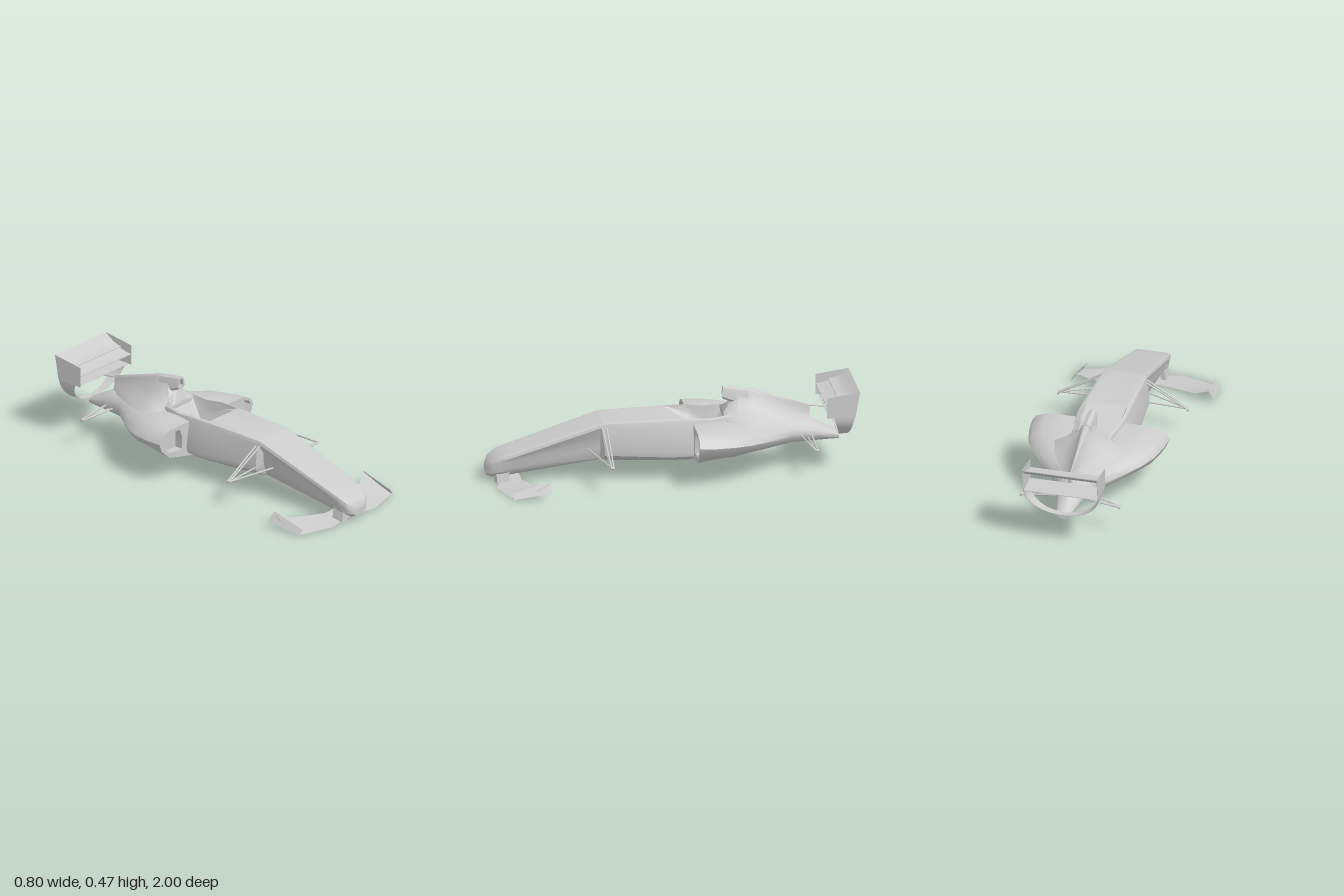
import * as THREE from 'three';
import { toCreasedNormals } from 'three/addons/utils/BufferGeometryUtils.js';

const material = new THREE.MeshStandardMaterial({ color: 0xcccccc });
const thin = new THREE.MeshStandardMaterial({ color: 0xcccccc, side: THREE.DoubleSide });

// The body axis drifts slightly sideways from the nose to the cockpit
const axis = z => 0.016 * Math.min(1, Math.max(0, 1 - z));
const mix = THREE.MathUtils.lerp;

// Skins closed rings of [x, y, z] points, caps both ends and turns the faces outward
function loft(rings, crease = 0.6) {
  const n = rings[0].length, tris = [];
  for (let i = 0; i + 1 < rings.length; i++)
    for (let j = 0; j < n; j++) {
      const k = (j + 1) % n, [a, b] = [rings[i], rings[i + 1]];
      tris.push(a[j], a[k], b[k], a[j], b[k], b[j]);
    }
  const cap = (ring, flip) => {
    const mid = [0, 1, 2].map(k => ring.reduce((s, p) => s + p[k], 0) / n);
    ring.forEach((p, j) => {
      const q = ring[(j + 1) % n];
      tris.push(mid, ...(flip ? [q, p] : [p, q]));
    });
  };
  cap(rings[0], true);
  cap(rings[rings.length - 1], false);
  let volume = 0;
  for (let i = 0; i < tris.length; i += 3) {
    const [a, b, c] = tris.slice(i, i + 3).map(p => new THREE.Vector3(...p));
    volume += a.dot(b.cross(c));
  }
  if (volume < 0) tris.reverse();
  const geo = new THREE.BufferGeometry();
  geo.setAttribute('position', new THREE.Float32BufferAttribute(tris.flat(), 3));
  return toCreasedNormals(geo, crease);
}

// Full ring from a half outline running top centre to bottom centre
function mirrorRing(z, half) {
  const other = half.slice(1, -1).reverse().map(([x, y]) => [-x, y]);
  return [...half, ...other].map(([x, y]) => [x + axis(z), y, z]);
}

function add(group, name, geo, mat = material) {
  const mesh = new THREE.Mesh(geo, mat);
  mesh.name = name;
  group.add(mesh);
  return mesh;
}

function strut(group, name, a, b, r = 0.005) {
  const from = new THREE.Vector3(...a), to = new THREE.Vector3(...b);
  const mesh = add(group, name, new THREE.CylinderGeometry(r, r, from.distanceTo(to), 8));
  mesh.position.copy(from).add(to).multiplyScalar(0.5);
  mesh.quaternion.setFromUnitVectors(new THREE.Vector3(0, 1, 0), to.sub(from).normalize());
}

// Extrudes an outline of [z, y] points across x, from x0 to x1
function acrossX(points, x0, x1) {
  const shape = new THREE.Shape(points.map(([z, y]) => new THREE.Vector2(-z, y)));
  const geo = new THREE.ExtrudeGeometry(shape, { depth: x1 - x0, bevelEnabled: false });
  return toCreasedNormals(geo.rotateY(Math.PI / 2).translate(x0, 0, 0), 0.6);
}

// Thin curved blade: a smooth camber line [z, y] with a tapering thickness
function blade(points, x0, x1) {
  const line = new THREE.SplineCurve(points.map(p => new THREE.Vector2(...p))).getPoints(10);
  const under = line.map((p, i) => [p.x, p.y - 0.004 - 0.008 * Math.sin(Math.PI * i / 10)]);
  return acrossX([...line.map(p => [p.x, p.y]), ...under.reverse()], x0, x1);
}

// Sidepod section, flat on top at the intake (square = 1) and rounder toward the tail
function podRing(inner, outer, top, mid, bottom, square) {
  const x = u => mix(inner, outer, u);
  const up = v => mix(mid, top, v), down = v => mix(mid, bottom, v);
  return [[inner, top], [x(0.3), up(mix(0.92, 1, square))], [x(0.68), up(mix(0.66, 0.97, square))],
    [x(0.92), up(mix(0.32, 0.54, square))], [outer, mid], [x(0.93), down(0.3)],
    [x(0.69), down(0.66)], [inner * 0.6, bottom]];
}

export function createModel() {
  const car = new THREE.Group();
  car.name = 'racingCar';

  // Nose and cockpit tub: z, top, bottom, top and flank half widths, flank height, cockpit depth
  const tub = [
    [1, 0.085, 0.037, 0.05, 0.052, 0.06, 0],
    [0.98, 0.118, 0.031, 0.08, 0.075, 0.07, 0],
    [0.93, 0.15, 0.033, 0.1, 0.09, 0.09, 0],
    [0.85, 0.176, 0.043, 0.105, 0.086, 0.125, 0],
    [0.39, 0.324, 0.107, 0.122, 0.097, 0.25, 0],
    [0.372, 0.328, 0.11, 0.125, 0.138, 0.18, 0],
    [0.02, 0.335, 0.097, 0.136, 0.166, 0.16, 0],
    [-0.1, 0.335, 0.096, 0.138, 0.163, 0.16, 0.08],
    [-0.2, 0.325, 0.115, 0.125, 0.14, 0.165, 0.14],
    [-0.285, 0.335, 0.12, 0.115, 0.12, 0.175, 0.03],
    [-0.34, 0.32, 0.12, 0.1, 0.11, 0.175, 0],
  ];
  add(car, 'noseAndTub', loft(tub.map(([z, t, b, wt, wm, ym, dip]) => mirrorRing(z, [
    [0, t - dip], [wt * 0.62, t - dip], [wt * 0.82, t - dip * 0.55], [wt * 0.86, t],
    [wt * 0.96, t - 0.006], [wt, t - 0.022], [wm, ym], [wm * 0.96, mix(b, ym, 0.55)],
    [wm * 0.72, b + 0.008], [wm * 0.6, b], [0, b],
  ]))));

  // Sidepods: z, inner and outer x, top, widest height, bottom, squareness
  const pod = [
    [-0.106, 0.125, 0.382, 0.305, 0.245, 0.092, 1],
    [-0.2, 0.115, 0.374, 0.308, 0.24, 0.113, 0.9],
    [-0.31, 0.09, 0.35, 0.305, 0.235, 0.118, 0.7],
    [-0.4, 0, 0.3, 0.3, 0.225, 0.12, 0.5],
    [-0.5, 0, 0.225, 0.288, 0.215, 0.124, 0.4],
    [-0.64, 0, 0.105, 0.28, 0.205, 0.13, 0.2],
    [-0.75, 0, 0.078, 0.272, 0.195, 0.135, 0],
    [-0.82, 0, 0.062, 0.235, 0.185, 0.138, 0],
    [-0.91, 0, 0.04, 0.186, 0.168, 0.142, 0.5],
  ];
  // The intake opening, set back behind the lip
  const mouth = [[0.2, 0.24], [0.215, 0.28], [0.3, 0.285], [0.345, 0.27],
    [0.362, 0.245], [0.345, 0.21], [0.3, 0.17], [0.2, 0.165]];
  const podRings = [[-0.15, mouth], [-0.106, mouth], ...pod.map(([z, ...p]) => [z, podRing(...p)])];
  for (const s of [1, -1])
    add(car, s > 0 ? 'leftSidepod' : 'rightSidepod',
      loft(podRings.map(([z, ring]) => ring.map(([x, y]) => [axis(z) + s * x, y, z])), 0.75));

  // Engine cover: z, top, top and middle half widths, middle height, base half width and height
  const cover = [
    [-0.283, 0.338, 0.07, 0.095, 0.33, 0.11, 0.3],
    [-0.32, 0.385, 0.03, 0.065, 0.35, 0.15, 0.297],
    [-0.36, 0.455, 0.022, 0.055, 0.377, 0.19, 0.294],
    [-0.45, 0.445, 0.018, 0.05, 0.355, 0.17, 0.28],
    [-0.6, 0.396, 0.01, 0.03, 0.32, 0.095, 0.262],
    [-0.756, 0.346, 0.003, 0.006, 0.3, 0.018, 0.25],
  ];
  add(car, 'engineCover', loft(cover.map(([z, t, wt, wm, ym, wb, yb]) => mirrorRing(z, [
    [0, t], [wt * 0.7, t - 0.004], [wt, t - 0.018], [wm, ym],
    [mix(wm, wb, 0.45), mix(ym, yb, 0.5)], [wb, yb], [0, yb],
  ])), 0.9));

  // Airbox with its recessed mouth: z, half width, bottom, top of a teardrop outline
  const teardrop = [[0, 1], [0.6, 0.88], [0.85, 0.55], [1, 0.2], [0.65, 0.03], [0, 0]];
  add(car, 'airbox', loft([
    [-0.33, 0.016, 0.41, 0.458], [-0.284, 0.016, 0.41, 0.458], [-0.284, 0.028, 0.401, 0.471],
    [-0.33, 0.036, 0.38, 0.468], [-0.42, 0.034, 0.37, 0.453],
  ].map(([z, w, b, t]) => mirrorRing(z, teardrop.map(([u, v]) => [u * w, mix(b, t, v)])))));

  // Front wing stations from the middle out: x, leading z, trailing z and y
  const span = [[0, 0.93, 0.81, 0.012], [0.07, 0.935, 0.815, 0.014],
    [0.165, 0.96, 0.785, 0.022], [0.28, 0.925, 0.74, 0.034], [0.378, 0.895, 0.705, 0.085]];
  const stations = [...span.slice(1).reverse().map(([x, ...r]) => [-x, ...r]), ...span];
  add(car, 'frontWing', loft(stations.map(([x, zl, zt, yt]) => {
    const zm = (zl + zt) / 2, ym = mix(0.004, yt, 0.35);
    return [[x, 0.004, zl], [x, ym + 0.003, zm], [x, yt, zt], [x, ym - 0.003, zm]];
  })));

  for (const s of [1, -1]) {
    // Leaning front wing endplate
    const plate = [[0.38, 0.004, 0.905], [0.36, 0.036, 0.905], [0.365, 0.09, 0.71], [0.4, 0.038, 0.695]];
    add(car, 'frontEndplate', loft([0, 0.003].map(d => plate.map(([x, y, z]) => [s * (x - d), y, z]))), thin);
    // Pylon between the nose and the front wing
    add(car, 'frontWingPylon', loft([[0.06, 0.065], [0.072, 0.004]].map(([x, y]) =>
      [[-0.013, 0.96], [0.014, 0.95], [0.014, 0.88], [-0.013, 0.88]].map(([dx, z]) => [s * (x + dx), y, z]))));

    // Suspension arms meeting at a short upright
    const c = 0.016;
    const arms = (end, [x, y, z], inners) => {
      inners.forEach(([ix, iy, iz], i) => strut(car, end + 'SuspensionArm',
        [c + s * x, y, z + (i ? 0.012 : 0)], [c + s * ix, iy, iz]));
      strut(car, end + 'Upright', [c + s * x, y - 0.004, z - 0.005], [c + s * x, y + 0.002, z + 0.02], 0.006);
    };
    arms('front', [0.36, 0.158, 0.36],
      [[0.11, 0.302, 0.36], [0.115, 0.3, 0.385], [0.12, 0.17, 0.365], [0.085, 0.18, 0.46]]);
    arms('rear', [0.272, 0.172, -0.76],
      [[0.04, 0.2, -0.755], [0.06, 0.2, -0.69], [0.04, 0.18, -0.735]]);
  }

  // Rear wing: curved main plane, flap and flat lower plane between two endplates
  const left = 0.22, right = -0.195;
  add(car, 'rearMainPlane', blade([[-0.822, 0.386], [-0.86, 0.392], [-0.91, 0.406]], right, left));
  add(car, 'rearFlap', blade([[-0.89, 0.412], [-0.94, 0.424], [-1, 0.463]], right, left));
  add(car, 'rearLowerPlane',
    acrossX([[-0.835, 0.324], [-0.835, 0.327], [-0.974, 0.327], [-0.974, 0.324]], right, left));
  const endplate = [[-0.82, 0.437], [-1, 0.464], [-0.975, 0.324], [-0.82, 0.324]];
  for (const x of [right, left - 0.002])
    add(car, 'rearEndplate', acrossX(endplate, x, x + 0.002), thin);
  // Slim stay from the fin of the engine cover to the rear wing
  strut(car, 'rearWingStay', [0.016, 0.337, -0.745], [0.016, 0.326, -0.845], 0.004);

  // U-shaped strip carrying the rear wing on the tail
  const rings = [];
  for (let i = 0; i <= 24; i++) {
    const a = Math.PI * i / 24, k = Math.sin(a);
    const ring = (r, y, z) => [0.0125 + r * Math.cos(a), y - 0.142 * k, z];
    const z0 = -0.858 - 0.048 * k, z1 = -0.973 + 0.033 * k;
    rings.push([ring(0.206, 0.324, z0), ring(0.206, 0.324, z1), ring(0.203, 0.327, z1), ring(0.203, 0.327, z0)]);
  }
  add(car, 'rearWingSupport', loft(rings), thin);

  return car;
}
